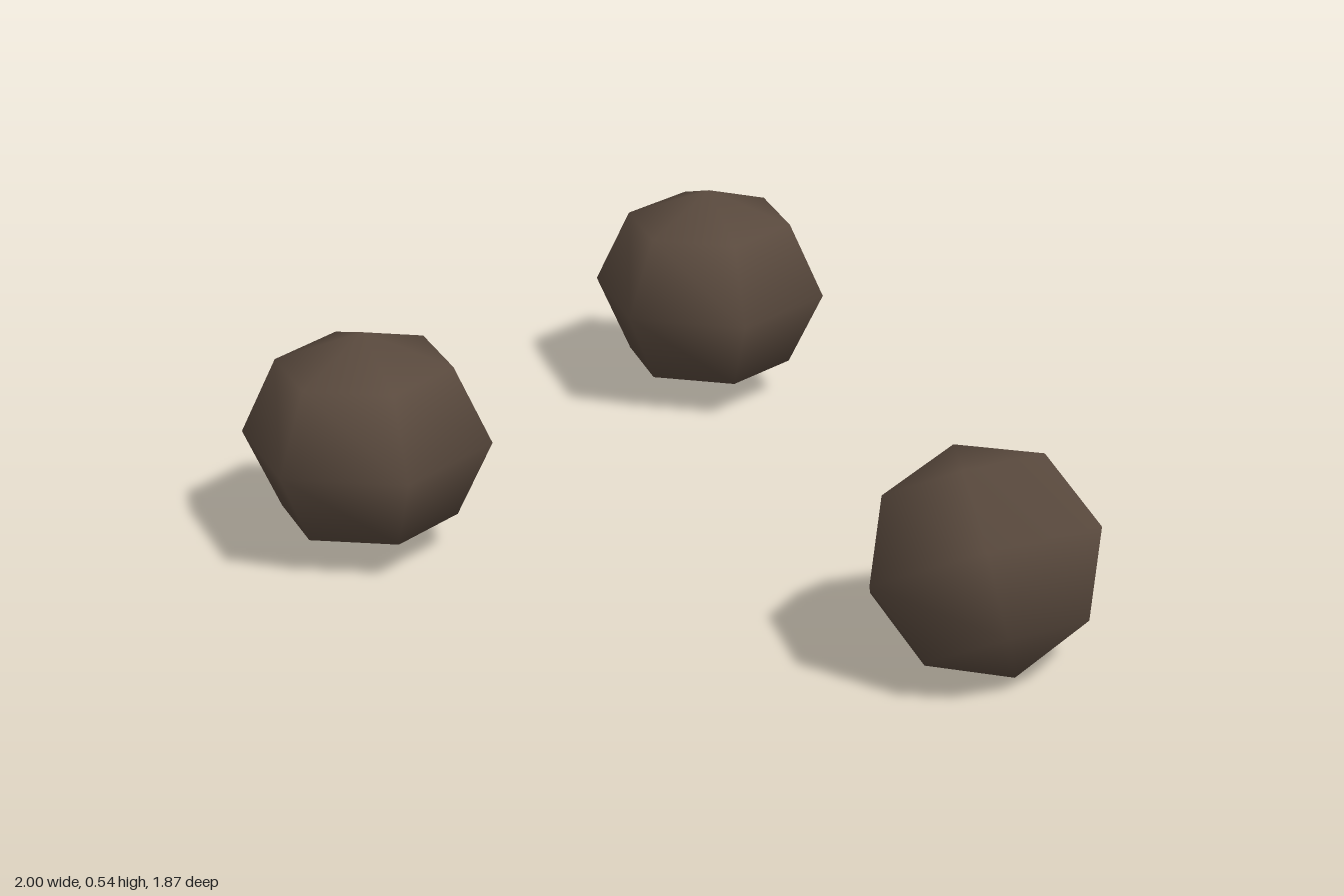
import * as THREE from 'three';

export function createModel() {
  const group = new THREE.Group();
  const brown = new THREE.MeshStandardMaterial({ color: 0x5a4a3e });
  brown.name = 'dark brown';

  // Coarse, smooth-shaded boulder, slightly squashed along its own axis
  const geometry = new THREE.SphereGeometry(0.29, 6, 4);
  geometry.scale(1, 0.887, 1);

  function boulder(name, x, y, z, turn) {
    const mesh = new THREE.Mesh(geometry, brown);
    mesh.name = name;
    mesh.position.set(x, y, z);
    mesh.quaternion.copy(turn);
    group.add(mesh);
  }

  const yaw = (angle) => new THREE.Quaternion().setFromEuler(new THREE.Euler(0, angle, 0));

  // The tumbled boulder is set by its side direction and its tilted axis
  const side = new THREE.Vector3(0.212, -0.01, -0.195).normalize();
  const axis = new THREE.Vector3(-0.343, 0.841, -0.417);
  const depth = new THREE.Vector3().crossVectors(side, axis).normalize();
  axis.crossVectors(depth, side);
  const tumble = new THREE.Quaternion().setFromRotationMatrix(
    new THREE.Matrix4().makeBasis(side, axis, depth)
  );

  boulder('backBoulder', -0.15, 0.283, -0.687, yaw(0));
  boulder('rightBoulder', -0.712, 0.283, 0.39, yaw(0.1));
  boulder('leftTumbledBoulder', 0.748, 0.256, 0.677, tumble);

  return group;
}
